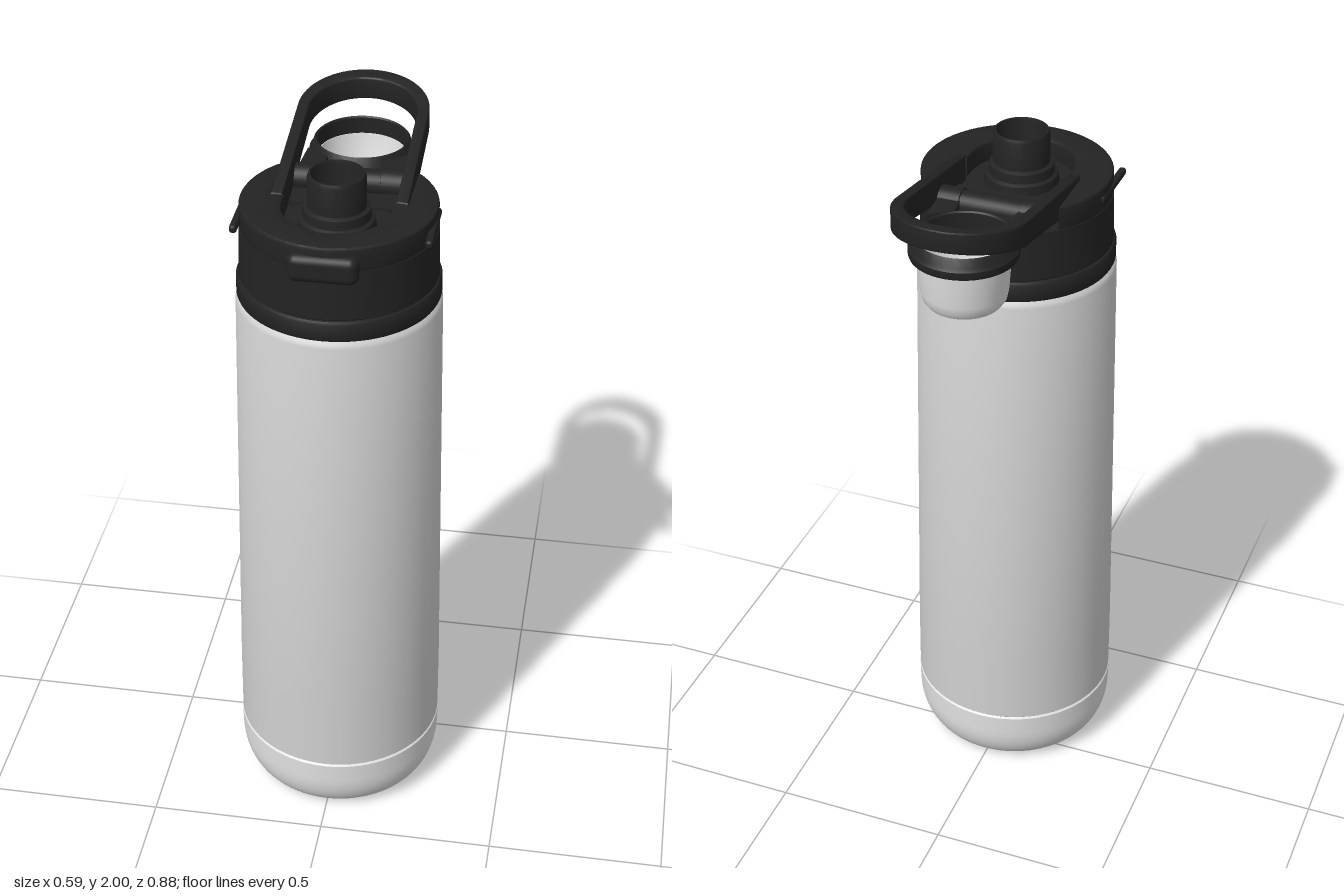
import * as THREE from 'three';
import { toCreasedNormals } from 'three/addons/utils/BufferGeometryUtils.js';
import { RoundedBoxGeometry } from 'three/addons/geometries/RoundedBoxGeometry.js';

const mat = (name, color) => new THREE.MeshStandardMaterial({ name, color });
const BODY_Z = 0.142, SPOUT_Z = 0.175, CAP_Z = -0.245;

export function createModel() {
  const black = mat('black plastic', 0x232323);
  const steel = mat('light grey body', 0xd0d0d0);
  const pale = mat('pale grey', 0xe2e2e2);
  const root = new THREE.Group();
  root.name = 'waterBottle';

  const add = (name, geo, material, x = 0, y = 0, z = 0) => {
    const m = new THREE.Mesh(geo, material);
    m.name = name;
    m.position.set(x, y, z);
    root.add(m);
    return m;
  };
  const crease = (g) => toCreasedNormals(g, 0.6);
  const lathe = (pts, seg = 72) =>
    crease(new THREE.LatheGeometry(pts.map(([x, y]) => new THREE.Vector2(x, y)), seg));

  // Base boot with a generous rounded bottom edge
  const boot = [[0, 0], [0.215, 0]];
  for (let i = 1; i <= 10; i++) {
    const a = (i / 10) * Math.PI / 2;
    boot.push([0.215 + 0.08 * Math.sin(a), 0.13 * (1 - Math.cos(a))]);
  }
  boot.push([0.296, 0.185], [0.291, 0.19]);
  add('baseBoot', lathe(boot), pale, 0, 0, BODY_Z);

  // Hollow tapered body
  add('body', lathe([
    [0.288, 0.187], [0.295, 0.194], [0.294, 0.4], [0.276, 1.615], [0.272, 1.626], [0.262, 1.636],
    [0.25, 1.636], [0.27, 0.2], [0.22, 0.06], [0, 0.05],
  ]), steel, 0, 0, BODY_Z);

  // Lid: threaded collar, then the main shell up to the recess floor
  add('lidCollar', lathe([
    [0.255, 1.636], [0.27, 1.636], [0.273, 1.642], [0.273, 1.685], [0.268, 1.693], [0.258, 1.695],
  ]), black, 0, 0, BODY_Z);
  add('lidShell', lathe([
    [0.258, 1.69], [0.266, 1.698], [0.262, 1.835], [0.11, 1.835],
  ]), black, 0, 0, BODY_Z);

  // Raised lid rim, open at the back for the hinge and handle
  const R = 0.254, gap = 0.186, a0 = Math.acos(gap / R), dz = BODY_Z - SPOUT_Z;
  const rim = new THREE.Shape();
  rim.absarc(0, 0, R, a0, Math.PI - a0, true);
  rim.lineTo(-gap, 0);
  rim.lineTo(-0.15, 0);
  rim.absarc(0, dz, 0.15, Math.PI, Math.PI * 2, false);
  rim.lineTo(0.15, 0);
  rim.lineTo(gap, 0);
  rim.closePath();
  const rimGeo = new THREE.ExtrudeGeometry(rim, {
    depth: 0.055, bevelThickness: 0.008, bevelSize: 0.006, bevelSegments: 3, curveSegments: 64,
  });
  rimGeo.rotateX(-Math.PI / 2);
  add('lidRim', crease(rimGeo), black, 0, 1.838, BODY_Z);

  // Recess floor around the spout and the spout tube
  add('recessFloor', lathe([
    [0.15, 1.82], [0.15, 1.845], [0.103, 1.845], [0.1, 1.87], [0.09, 1.875], [0.088, 1.9],
    [0.077, 1.905], [0.077, 1.985], [0.073, 1.995], [0.069, 1.995], [0.067, 1.985], [0.067, 1.7],
  ], 48), black, 0, 0, SPOUT_Z);
  add('recessDeck', new THREE.BoxGeometry(0.29, 0.03, 0.08), black, 0, 1.835, 0.04);

  // Front release button
  add('releaseButton', new RoundedBoxGeometry(0.185, 0.078, 0.05, 5, 0.024), black, 0, 1.838, 0.39);

  // Side grips at the handle pivots
  for (const s of [1, -1]) {
    add('sideGrip', new RoundedBoxGeometry(0.02, 0.022, 0.19, 3, 0.008), black, s * 0.253, 1.866, 0.19);
  }

  // Carry loop: a U outline, thicker at the pivot than at the far end
  const U = new THREE.Shape();
  const endY = 0.26;
  U.moveTo(0.176, -0.14);
  U.lineTo(0.176, endY);
  U.absarc(0, endY, 0.176, 0, Math.PI, false);
  U.lineTo(-0.176, -0.14);
  U.lineTo(-0.152, -0.14);
  U.lineTo(-0.152, endY - 0.01);
  U.absellipse(0, endY - 0.01, 0.152, 0.15, Math.PI, 0, true, 0);
  U.lineTo(0.152, -0.14);
  U.closePath();
  const loop = new THREE.ExtrudeGeometry(U, {
    depth: 0.84, bevelThickness: 0.08, bevelSize: 0.004, bevelSegments: 3, curveSegments: 40,
  });
  loop.translate(0, 0, 0.08);
  loop.rotateX(-Math.PI / 2);
  const p = loop.attributes.position;
  for (let i = 0; i < p.count; i++) {
    const t = (0.1 - p.getZ(i)) / 0.54;
    const lo = 1.825 + 0.115 * t, hi = 1.913 + 0.087 * t;
    p.setY(i, lo + (hi - lo) * p.getY(i));
  }
  add('carryLoop', crease(loop), black);

  // Hinge: central barrel between two end knuckles
  const barrel = (name, r, len, x) => {
    const g = new THREE.CylinderGeometry(r, r, len, 28);
    g.rotateZ(Math.PI / 2);
    add(name, g, black, x, 1.862, -0.038);
  };
  barrel('hingeBarrel', 0.036, 0.17, 0);
  for (const s of [1, -1]) {
    barrel('hingeKnuckle', 0.04, 0.06, s * 0.116);
    // Wings carrying the cap, tapering towards its ring
    const wing = new THREE.Shape();
    wing.moveTo(s * 0.085, 0.05);
    wing.lineTo(s * 0.145, 0.05);
    wing.lineTo(s * 0.137, 0.17);
    wing.lineTo(s * 0.075, 0.125);
    wing.closePath();
    const g = new THREE.ExtrudeGeometry(wing, { depth: 0.045, bevelEnabled: false });
    g.rotateX(-Math.PI / 2);
    add('hingeWing', g, black, 0, 1.838, 0);
  }
  const bridge = new THREE.Shape();
  bridge.moveTo(-0.14, 0.03);
  bridge.lineTo(0.14, 0.03);
  bridge.lineTo(0.137, 0.2);
  bridge.absarc(0, -CAP_Z, 0.13, -0.35, Math.PI + 0.35, true);
  bridge.closePath();
  const bridgeGeo = new THREE.ExtrudeGeometry(bridge, { depth: 0.025, bevelEnabled: false, curveSegments: 24 });
  bridgeGeo.rotateX(-Math.PI / 2);
  add('capBridge', bridgeGeo, black, 0, 1.838, 0);

  // Flipped cap: black ring, pale cup and its central plug
  add('capRing', lathe([
    [0.122, 1.836], [0.143, 1.836], [0.145, 1.842], [0.145, 1.858], [0.138, 1.866],
    [0.132, 1.885], [0.127, 1.89], [0.123, 1.886], [0.122, 1.836],
  ], 56), black, 0, 0, CAP_Z);
  add('capCup', lathe([
    [0, 1.692], [0.085, 1.692], [0.1, 1.697], [0.111, 1.712], [0.116, 1.735], [0.124, 1.84],
    [0.12, 1.84], [0.106, 1.74], [0.095, 1.718], [0.075, 1.71], [0, 1.71],
  ], 56), pale, 0, 0, CAP_Z);
  add('capPlugTop', new THREE.CylinderGeometry(0.045, 0.045, 0.008, 32), black, 0, 1.711, CAP_Z);
  add('capPlugBottom', new THREE.CylinderGeometry(0.036, 0.036, 0.008, 32), black, 0, 1.691, CAP_Z);

  return root;
}
